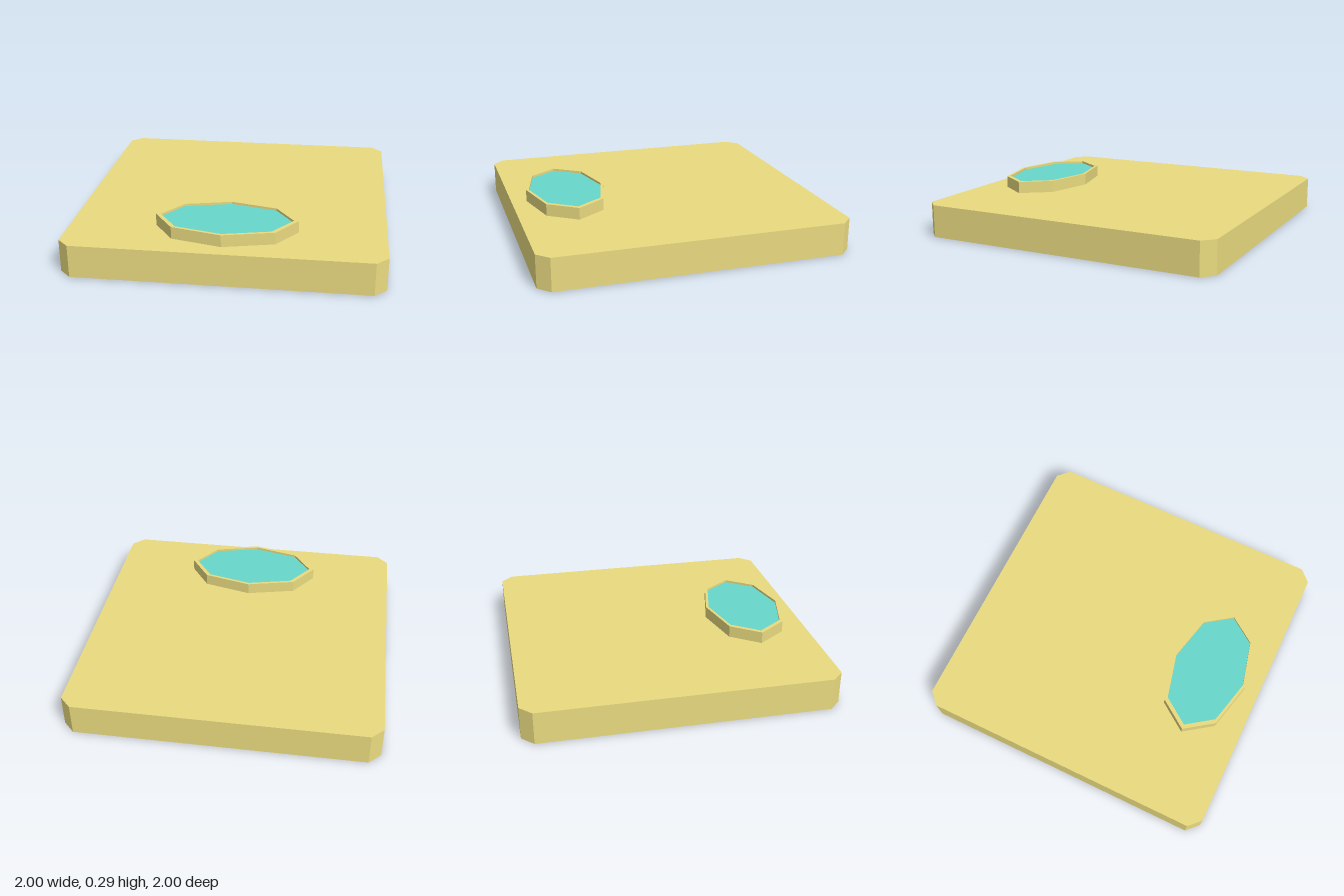
import * as THREE from 'three';

const sand = new THREE.MeshStandardMaterial({ color: 0xeadb80, flatShading: true });
const water = new THREE.MeshStandardMaterial({ color: 0x68d6cc, flatShading: true });

// Eight-sided oval with corners on both axes
function octagon(rx, rz, Type = THREE.Shape) {
  const pts = [];
  for (let i = 0; i < 8; i++) {
    const a = (i * Math.PI) / 4;
    pts.push(new THREE.Vector2(rx * Math.cos(a), rz * Math.sin(a)));
  }
  return new Type(pts);
}

// Upright prism from a ground-plan shape
function slab(name, shape, bottom, top, z, material) {
  const geo = new THREE.ExtrudeGeometry(shape, { depth: top - bottom, bevelEnabled: false });
  geo.rotateX(-Math.PI / 2);
  const mesh = new THREE.Mesh(geo, material);
  mesh.name = name;
  mesh.position.set(0, bottom, z);
  return mesh;
}

export function createModel() {
  const model = new THREE.Group();
  model.name = 'sandTileWithPool';

  // Square base with clipped corners
  const c = 0.925;
  const plan = new THREE.Shape([
    [c, -1], [1, -c], [1, c], [c, 1], [-c, 1], [-1, c], [-1, -c], [-c, -1],
  ].map(([x, y]) => new THREE.Vector2(x, y)));
  model.add(slab('base', plan, 0, 0.212, 0, sand));

  // Raised rim around the pool
  const rim = octagon(0.452, 0.264);
  rim.holes.push(octagon(0.42, 0.245, THREE.Path));
  model.add(slab('poolRim', rim, 0.212, 0.29, 0.636, sand));

  // Water just below the rim
  model.add(slab('water', octagon(0.42, 0.245), 0.212, 0.275, 0.636, water));

  return model;
}
